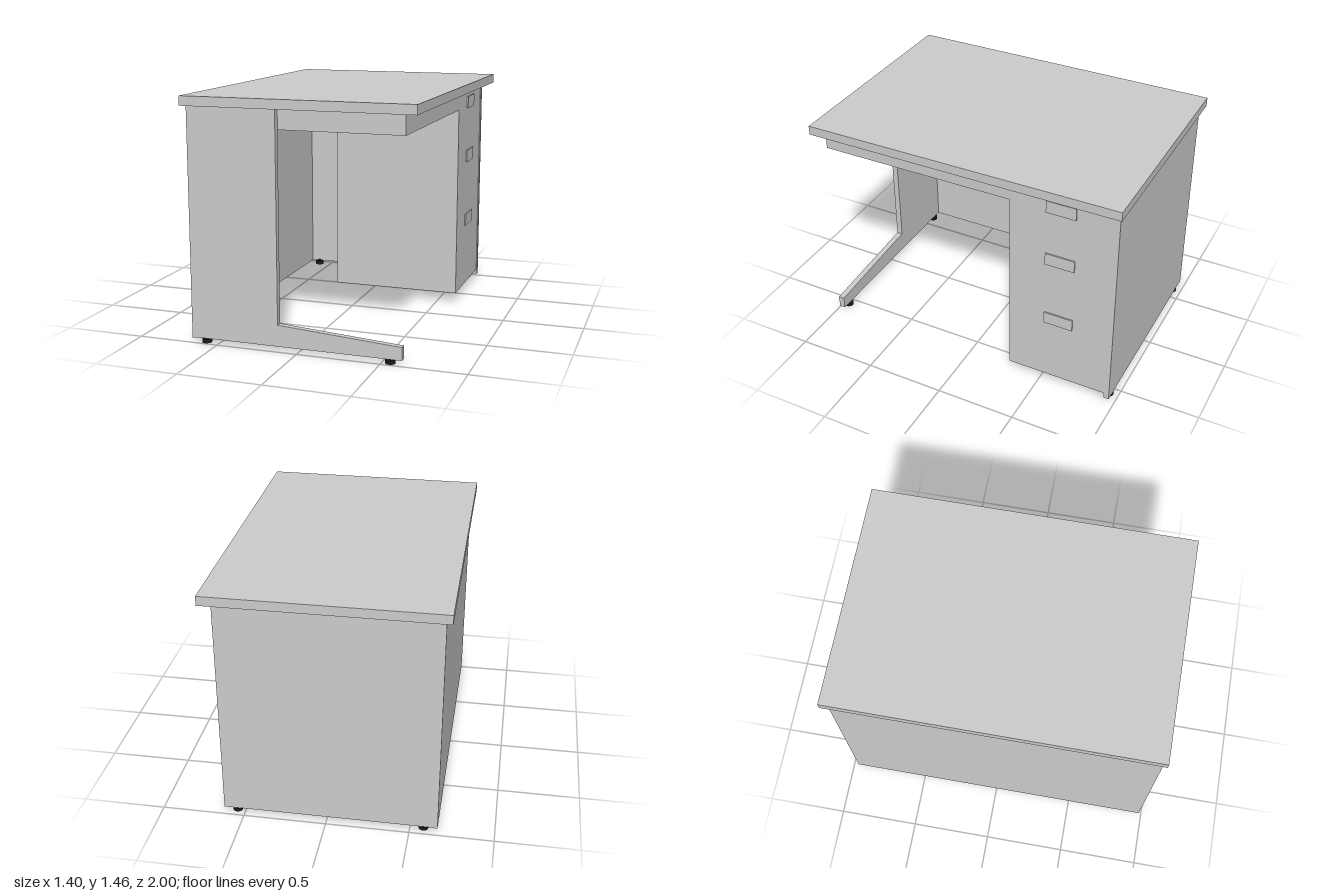
import * as THREE from 'three';

export function createModel() {
  const desk = new THREE.Group();
  desk.name = 'desk';
  const grey = new THREE.MeshStandardMaterial({ color: 0xcccccc });
  const black = new THREE.MeshStandardMaterial({ color: 0x1c1c1c });

  const add = (name, geometry, material = grey) => {
    const mesh = new THREE.Mesh(geometry, material);
    mesh.name = name;
    desk.add(mesh);
    return mesh;
  };

  // Box given by its limits on each axis
  const box = (name, [x0, x1], [y0, y1], [z0, z1]) =>
    add(name, new THREE.BoxGeometry(x1 - x0, y1 - y0, z1 - z0))
      .position.set((x0 + x1) / 2, (y0 + y1) / 2, (z0 + z1) / 2);

  const under = 1.4; // underside of the top

  // Top and the two full panels
  box('deskTop', [-0.7, 0.7], [under, 1.457], [-1, 1]);
  box('modestyPanel', [-0.665, -0.633], [0.025, under], [-0.968, 0.984]);
  box('endPanel', [-0.633, 0.627], [0.028, under], [-0.968, -0.935]);

  // L-shaped leg with a tapering foot
  const leg = new THREE.Shape([
    [-0.633, 0.028], [0.623, 0.028], [0.623, 0.106],
    [-0.12, 0.157], [-0.12, under], [-0.633, under],
  ].map(([x, y]) => new THREE.Vector2(x, y)));
  add('leg', new THREE.ExtrudeGeometry(leg, { depth: 0.038, bevelEnabled: false }))
    .position.z = 0.946;

  // Drawer pedestal and the shallow drawer across the knee space
  box('pedestal', [-0.21, 0.622], [0.06, under], [-0.935, -0.295]);
  box('kneeDrawer', [-0.21, 0.622], [1.28, under], [-0.295, 0.943]);

  // Raised handle plates on the three drawers
  for (const y of [1.307, 0.945, 0.51]) {
    box('drawerHandle', [0.62, 0.63], [y - 0.039, y + 0.039], [-0.71, -0.525]);
  }

  // Levelling feet
  for (const x of [-0.58, 0.55]) {
    for (const z of [-0.94, 0.963]) {
      add('levellingFoot', new THREE.CylinderGeometry(0.029, 0.029, 0.022, 24), black)
        .position.set(x, 0.011, z);
      add('footStem', new THREE.CylinderGeometry(0.012, 0.012, 0.02, 12), black)
        .position.set(x, 0.025, z);
    }
  }

  return desk;
}
